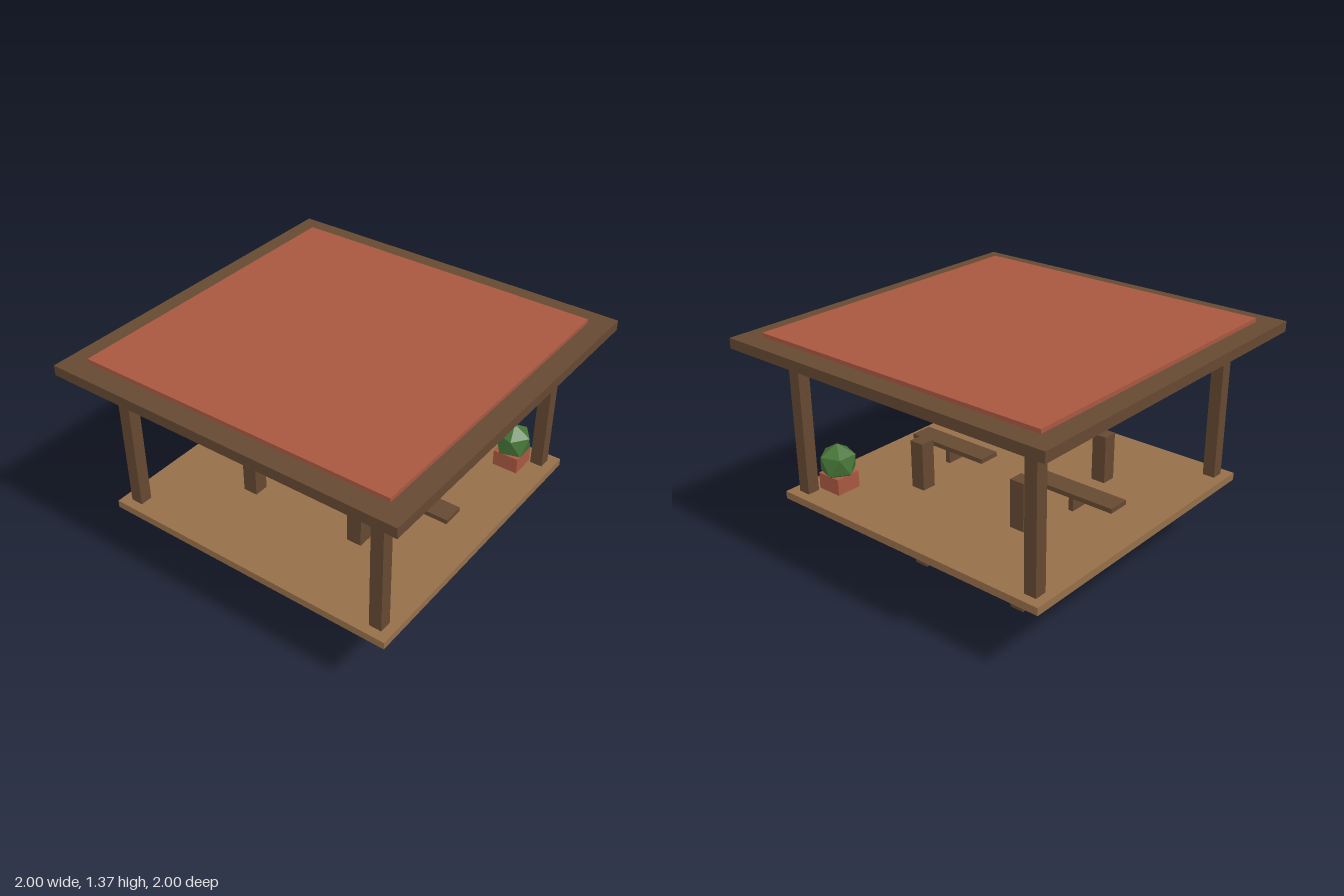
import * as THREE from 'three';

const mat = (name, color) => {
  const m = new THREE.MeshStandardMaterial({ color, flatShading: true });
  m.name = name;
  return m;
};

export function createModel() {
  const group = new THREE.Group();
  const darkWood = mat('darkWood', 0x654932);
  const lightWood = mat('lightWood', 0x966f4a);
  const terracotta = mat('terracotta', 0xa85840);
  const leafGreen = mat('leafGreen', 0x457336);

  // Box given by its centre in plan, its bottom and top heights, and its footprint
  const box = (name, material, x, z, y0, y1, w, d) => {
    const mesh = new THREE.Mesh(new THREE.BoxGeometry(w, y1 - y0, d), material);
    mesh.position.set(x, (y0 + y1) / 2, z);
    mesh.name = name;
    group.add(mesh);
  };

  // Deck and flat roof with its covering
  box('deck', lightWood, 0, 0, 0.432, 0.474, 1.714, 1.714);
  box('roofFrame', darkWood, 0, 0, 1.288, 1.344, 2, 2);
  box('roofCover', terracotta, 0, 0, 1.344, 1.366, 1.77, 1.77);

  // Corner posts carry the roof; stilts pass up through the deck
  for (const sx of [-1, 1]) {
    for (const sz of [-1, 1]) {
      box('roofPost', darkWood, sx * 0.77, sz * 0.77, 0.433, 1.288, 0.07, 0.07);
      box('stilt', darkWood, sx * 0.342, sz * 0.342, 0, 0.744, 0.084, 0.084);
    }
    // Bench on a single central support
    box('benchSeat', darkWood, sx * 0.43, 0, 0.55, 0.576, 0.514, 0.126);
    box('benchSupport', darkWood, sx * 0.43, 0, 0.474, 0.55, 0.028, 0.112);
  }

  // Potted bush in the back corner
  box('plantPot', terracotta, 0.656, -0.656, 0.487, 0.578, 0.146, 0.146);
  const leaves = new THREE.IcosahedronGeometry(0.107, 0);
  leaves.rotateX(-Math.atan((1 + Math.sqrt(5)) / 2)); // one corner straight up
  leaves.rotateY(Math.PI / 2);
  const bush = new THREE.Mesh(leaves, leafGreen);
  bush.position.set(0.656, 0.637, -0.656);
  bush.name = 'bush';
  group.add(bush);

  return group;
}
